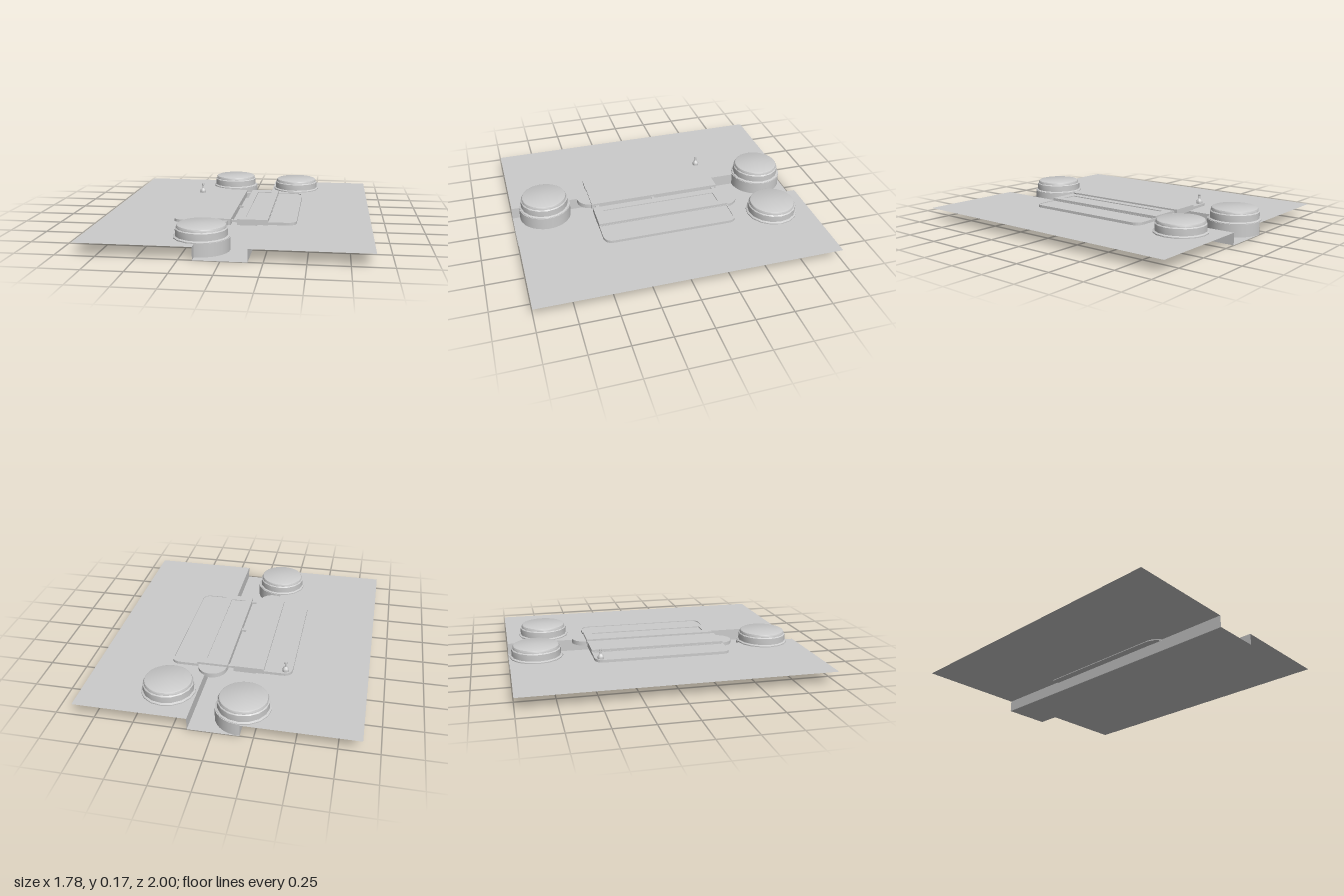
import * as THREE from 'three';
import { toCreasedNormals } from 'three/addons/utils/BufferGeometryUtils.js';

const GROUND = 0.08;
const TRENCH = [-0.165, 0.16];
const grey = new THREE.MeshStandardMaterial({ color: 0xcccccc });
const thin = new THREE.MeshStandardMaterial({ color: 0xcccccc, side: THREE.DoubleSide });

function mesh(name, geometry, x = 0, y = 0, z = 0, material = grey) {
  const m = new THREE.Mesh(geometry, material);
  m.name = name;
  m.position.set(x, y, z);
  return m;
}

function lathe(points, segments) {
  const g = new THREE.LatheGeometry(points.map(([r, y]) => new THREE.Vector2(r, y)), segments);
  return toCreasedNormals(g, 0.6);
}

// Thin sheet folded along a cross-section that runs the full depth
function makeGround() {
  const section = [[-0.89, GROUND], [TRENCH[0], GROUND], [TRENCH[0], 0],
    [TRENCH[1], 0], [TRENCH[1], GROUND], [0.89, GROUND]];
  const positions = [];
  for (let i = 0; i < section.length - 1; i++) {
    const [a, b] = section[i], [c, d] = section[i + 1];
    positions.push(a, b, 1, c, d, 1, c, d, -1, a, b, 1, c, d, -1, a, b, -1);
  }
  const g = new THREE.BufferGeometry();
  g.setAttribute('position', new THREE.Float32BufferAttribute(positions, 3));
  g.computeVertexNormals();
  return mesh('groundWithFootwell', g, 0, 0, 0, thin);
}

// Round floor cushion; those over the footwell get a half-round base below
function makeSeat(x, z, overTrench) {
  const seat = new THREE.Group();
  seat.name = 'seat';
  seat.position.set(x, 0, z);
  seat.add(mesh('seatRim', lathe([[0.15, 0.081], [0.175, 0.081], [0.175, 0.088], [0.163, 0.094],
    [0.163, 0.137], [0.153, 0.145]], 16)));
  seat.add(mesh('seatCushion', lathe([[0.154, 0.138], [0.154, 0.152], [0.15, 0.16],
    [0.142, 0.164], [0, 0.165]], 32)));
  if (overTrench) {
    const overlap = Math.asin((x - TRENCH[0]) / 0.178);
    seat.add(mesh('seatBase', new THREE.CylinderGeometry(0.178, 0.178, 0.084, 16, 1, false,
      -overlap, Math.PI + 2 * overlap), 0, 0.043, 0, thin));
  }
  return seat;
}

// Rectangle from x0 (square edge) to x1 (rounded corners), symmetric in depth
function leafOutline(x0, x1, halfDepth, r, Type = THREE.Shape) {
  const s = Math.sign(x1 - x0);
  const o = new Type();
  o.moveTo(x0, -halfDepth);
  o.lineTo(x1 - s * r, -halfDepth);
  o.quadraticCurveTo(x1, -halfDepth, x1, -halfDepth + r);
  o.lineTo(x1, halfDepth - r);
  o.quadraticCurveTo(x1, halfDepth, x1 - s * r, halfDepth);
  o.lineTo(x0, halfDepth);
  o.closePath();
  return o;
}

function slab(shape, depth) {
  return new THREE.ExtrudeGeometry(shape, { depth, bevelEnabled: false, curveSegments: 6 })
    .rotateX(-Math.PI / 2);
}

function makeLeaf(s) {
  const leaf = new THREE.Group();
  leaf.name = s > 0 ? 'leftTableLeaf' : 'rightTableLeaf';
  leaf.position.x = 0.005;
  const D = 0.458;
  leaf.add(mesh('leafTop', slab(leafOutline(s * 0.02, s * 0.405, D, 0.065), 0.013), 0, 0.083));
  // Raised lip around the outer edge
  const lip = leafOutline(s * 0.22, s * 0.405, D, 0.065);
  lip.holes.push(leafOutline(s * 0.224, s * 0.395, D - 0.01, 0.058, THREE.Path));
  leaf.add(mesh('leafLip', slab(lip, 0.005), 0, 0.096));
  // Raised inner board with a shallow inset panel
  const board = leafOutline(s * 0.02, s * 0.222, D, 0.002);
  board.holes.push(leafOutline(s * 0.07, s * 0.172, 0.4, 0.002, THREE.Path));
  leaf.add(mesh('innerBoardFrame', slab(board, 0.007), 0, 0.108));
  leaf.add(mesh('innerBoard', new THREE.BoxGeometry(0.202, 0.034, 2 * D), s * 0.121, 0.092, 0));
  return leaf;
}

// Half-round tongue at the end of a leaf, dir is the end it points to
function makeTongue(x, z, r, top, dir) {
  const g = new THREE.CylinderGeometry(r, r, 0.03, 24, 1, false, dir > 0 ? -Math.PI / 2 : Math.PI / 2, Math.PI);
  return mesh('endTongue', g, x, top - 0.015, z, thin);
}

export function createModel() {
  const model = new THREE.Group();
  model.add(makeGround());

  // Seats
  model.add(makeSeat(-0.15, 0.77, true));
  model.add(makeSeat(-0.155, -0.82, true));
  model.add(makeSeat(0.345, -0.735, false));

  // Table
  const table = new THREE.Group();
  table.name = 'table';
  for (const s of [-1, 1]) table.add(makeLeaf(s));
  for (const z of [-0.43, 0.02, 0.42]) {
    table.add(mesh('hinge', new THREE.BoxGeometry(0.046, 0.014, 0.022), 0.005, 0.094, z));
  }
  table.add(makeTongue(-0.125, 0.45, 0.092, 0.104, 1));
  table.add(makeTongue(0.125, -0.455, 0.095, 0.1, -1));
  model.add(table);

  // Little bottle on the table corner
  model.add(mesh('bottle', lathe([[0, 0.096], [0.021, 0.096], [0.022, 0.112], [0.017, 0.122],
    [0.007, 0.132], [0.006, 0.15], [0.009, 0.153], [0.008, 0.165], [0, 0.166]], 14), -0.355, 0, -0.418));
  return model;
}
